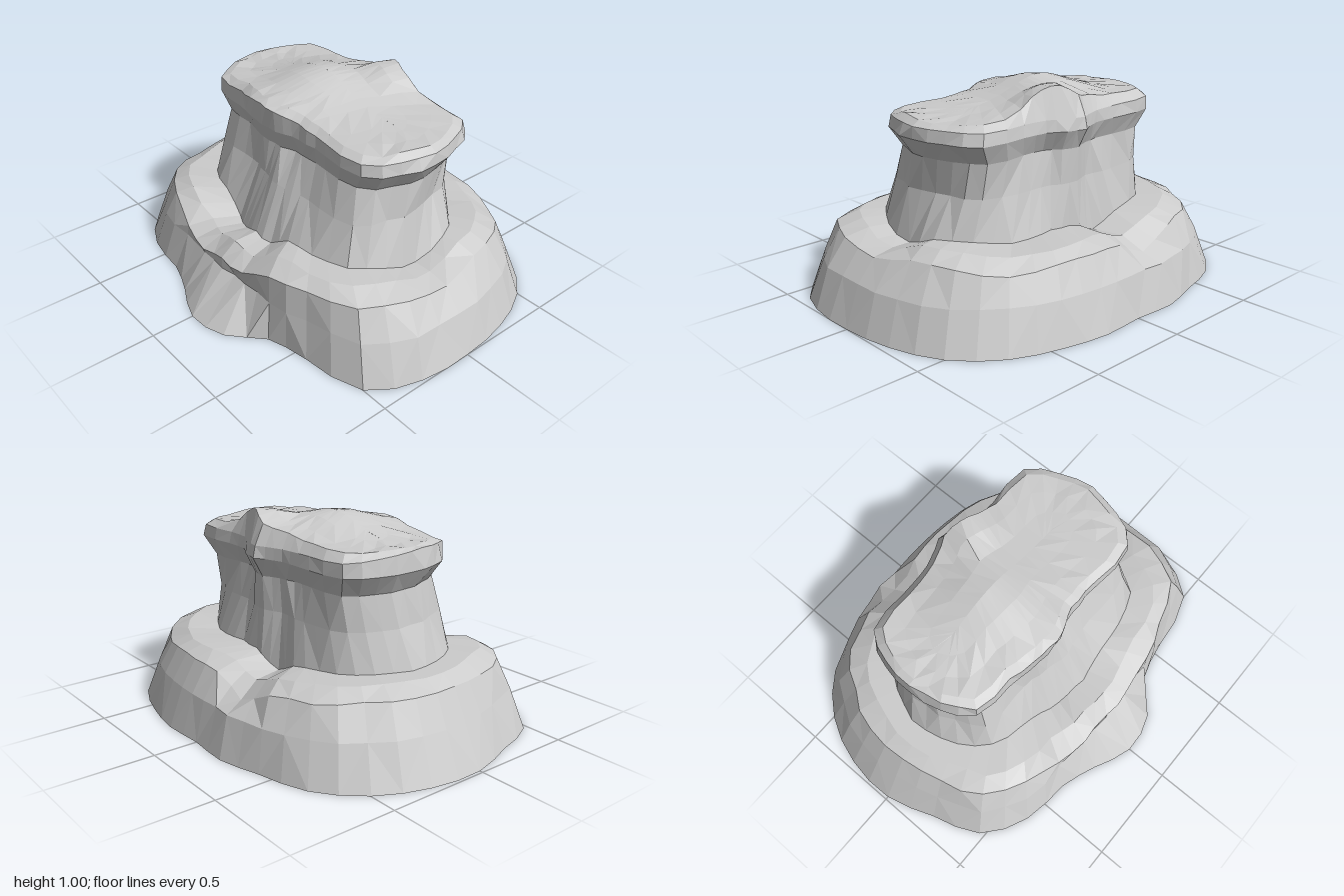
import * as THREE from 'three';

const COLS = 48;
const material = new THREE.MeshStandardMaterial({ color: 0xcccccc, flatShading: true, side: THREE.DoubleSide });

// Repeatable noise in -1..1
let seed = 11;
const noise = () => {
  seed = (seed * 16807) % 2147483647;
  return (seed / 2147483647) * 2 - 1;
};

// Value around a closed list of 24 samples (every 15 degrees, +x towards +z)
function around(list, i) {
  const t = (i / COLS) * list.length, k = Math.floor(t), f = t - k;
  const at = (j) => list[(j + list.length) % list.length];
  const smooth = THREE.MathUtils.lerp(at(k), at(k + 1), f);
  return smooth + (f > 0 ? (at(k) + at(k + 1) - at(k - 1) - at(k + 2)) / 16 : 0);
}

// Ring from a radius list about z = cz, with a constant or listed height
function ring(radii, y, rough = 0, cz = 0, scale = 1) {
  return Array.from({ length: COLS }, (_, i) => {
    const a = (i / COLS) * Math.PI * 2, r = around(radii, i) * scale + noise() * rough;
    return new THREE.Vector3(r * Math.cos(a), Array.isArray(y) ? around(y, i) : y, cz + r * Math.sin(a));
  });
}

// Skin a stack of rings, from bottom to top
function loft(name, rings) {
  const pos = [], idx = [];
  rings.forEach((r) => r.forEach((p) => pos.push(p.x, p.y, p.z)));
  for (let j = 0; j < rings.length - 1; j++) {
    for (let i = 0; i < COLS; i++) {
      const a = j * COLS + i, b = j * COLS + ((i + 1) % COLS), c = a + COLS, d = b + COLS;
      if ((i + j) % 3) idx.push(a, c, b, b, c, d);
      else idx.push(a, c, d, a, d, b);
    }
  }
  const g = new THREE.BufferGeometry();
  g.setAttribute('position', new THREE.Float32BufferAttribute(pos, 3));
  g.setIndex(idx);
  g.computeVertexNormals();
  const mesh = new THREE.Mesh(g, material);
  mesh.name = name;
  return mesh;
}

export function createModel() {
  const model = new THREE.Group();
  model.name = 'rockFormation';

  // Footprint, bulging flank, broken lip and shelf edge
  const foot = [1, 1.02, 1, 0.8, 0.71, 0.78, 0.79, 0.735, 0.745, 0.865, 0.95, 0.94,
    0.985, 1, 0.995, 0.95, 0.86, 0.83, 0.79, 0.83, 0.88, 0.955, 1, 1];
  const flank = [0.93, 0.95, 0.92, 0.77, 0.68, 0.61, 0.6, 0.62, 0.68, 0.79, 0.87, 0.86,
    0.9, 0.92, 0.91, 0.88, 0.81, 0.77, 0.74, 0.77, 0.82, 0.88, 0.93, 0.94];
  const lip = [0.84, 0.87, 0.86, 0.75, 0.68, 0.63, 0.61, 0.62, 0.66, 0.74, 0.81, 0.8,
    0.82, 0.84, 0.83, 0.81, 0.74, 0.68, 0.66, 0.69, 0.76, 0.82, 0.85, 0.84];
  const lipY = [0.29, 0.32, 0.33, 0.33, 0.33, 0.26, 0.25, 0.21, 0.24, 0.32, 0.33, 0.32,
    0.33, 0.33, 0.33, 0.32, 0.31, 0.23, 0.31, 0.32, 0.32, 0.3, 0.33, 0.33];
  const shelf = [0.74, 0.76, 0.76, 0.66, 0.57, 0.54, 0.53, 0.52, 0.55, 0.65, 0.72, 0.72,
    0.74, 0.75, 0.74, 0.71, 0.64, 0.58, 0.57, 0.61, 0.67, 0.72, 0.76, 0.75];
  const shelfY = [0.31, 0.35, 0.37, 0.37, 0.37, 0.3, 0.31, 0.27, 0.27, 0.36, 0.37, 0.37,
    0.37, 0.37, 0.37, 0.365, 0.35, 0.29, 0.34, 0.355, 0.355, 0.35, 0.37, 0.37];
  const trunk = [0.66, 0.665, 0.63, 0.53, 0.45, 0.42, 0.41, 0.4, 0.41, 0.48, 0.57, 0.62,
    0.65, 0.65, 0.62, 0.56, 0.48, 0.43, 0.42, 0.43, 0.48, 0.56, 0.64, 0.665];
  const waistScale = [0.95, 0.97, 1, 0.98, 0.96, 0.98, 0.95, 0.9, 0.88, 0.93, 1, 0.98,
    0.98, 0.98, 0.98, 1, 0.98, 0.96, 0.97, 0.98, 0.96, 0.98, 0.97, 0.93];
  const capRim = [0.67, 0.66, 0.62, 0.44, 0.355, 0.33, 0.345, 0.36, 0.39, 0.44, 0.58, 0.6,
    0.615, 0.62, 0.6, 0.45, 0.37, 0.35, 0.38, 0.37, 0.36, 0.44, 0.62, 0.65];

  const trunkFoot = ring(trunk, shelfY, 0.008);
  model.add(loft('baseMound', [
    ring(foot, 0),
    ring(flank, 0.19, 0.01),
    ring(lip, lipY, 0.01),
    ring(shelf, shelfY, 0.01),
    trunkFoot,
  ]));

  // Fluted trunk leaning backwards as it rises, undercut at the front
  const neck = ring(capRim, 0.71, 0.006, -0.065, 0.91);
  const waist = trunkFoot.map((p, i) => {
    const q = p.clone().lerp(neck[i], 0.55);
    const scale = around(waistScale, i) + noise() * 0.015;
    return q.set(q.x * scale, 0.55, q.z * scale);
  });
  model.add(loft('trunk', [trunkFoot, waist, neck]));

  // Overhanging cap with an uneven rim
  const bump = (p, x, z, w) => Math.exp(-((p.x - x) ** 2 + (p.z - z) ** 2) / (w * w));
  const brow = ring(capRim, 0.8, 0.006, -0.07, 1.01);
  const rim = ring(capRim, 0.855, 0.006, -0.07, 0.99);
  rim.forEach((p) => {
    p.y += 0.055 * bump(p, -0.08, 0.27, 0.2) + 0.035 * bump(p, -0.6, 0, 0.3);
    p.z += 0.015 * bump(p, -0.1, 0.27, 0.18);
  });
  // Top surface closes on a short crest line and rises to two knolls
  const tops = [0.88, 0.62, 0.32, 0].map((s) => rim.map((p) => {
    const q = new THREE.Vector3(p.x * (0.55 + 0.45 * s), 0, -0.07 + (p.z + 0.07) * s);
    q.y = 0.885 - 0.015 * q.x + 0.1 * bump(q, -0.08, -0.07, 0.24) + 0.11 * bump(q, 0.12, -0.36, 0.15)
      + 0.02 * bump(q, -0.08, 0.25, 0.2) + (s > 0.4 ? noise() * 0.006 : 0);
    return q;
  }));
  model.add(loft('cap', [neck, brow, rim, ...tops]));

  return model;
}
